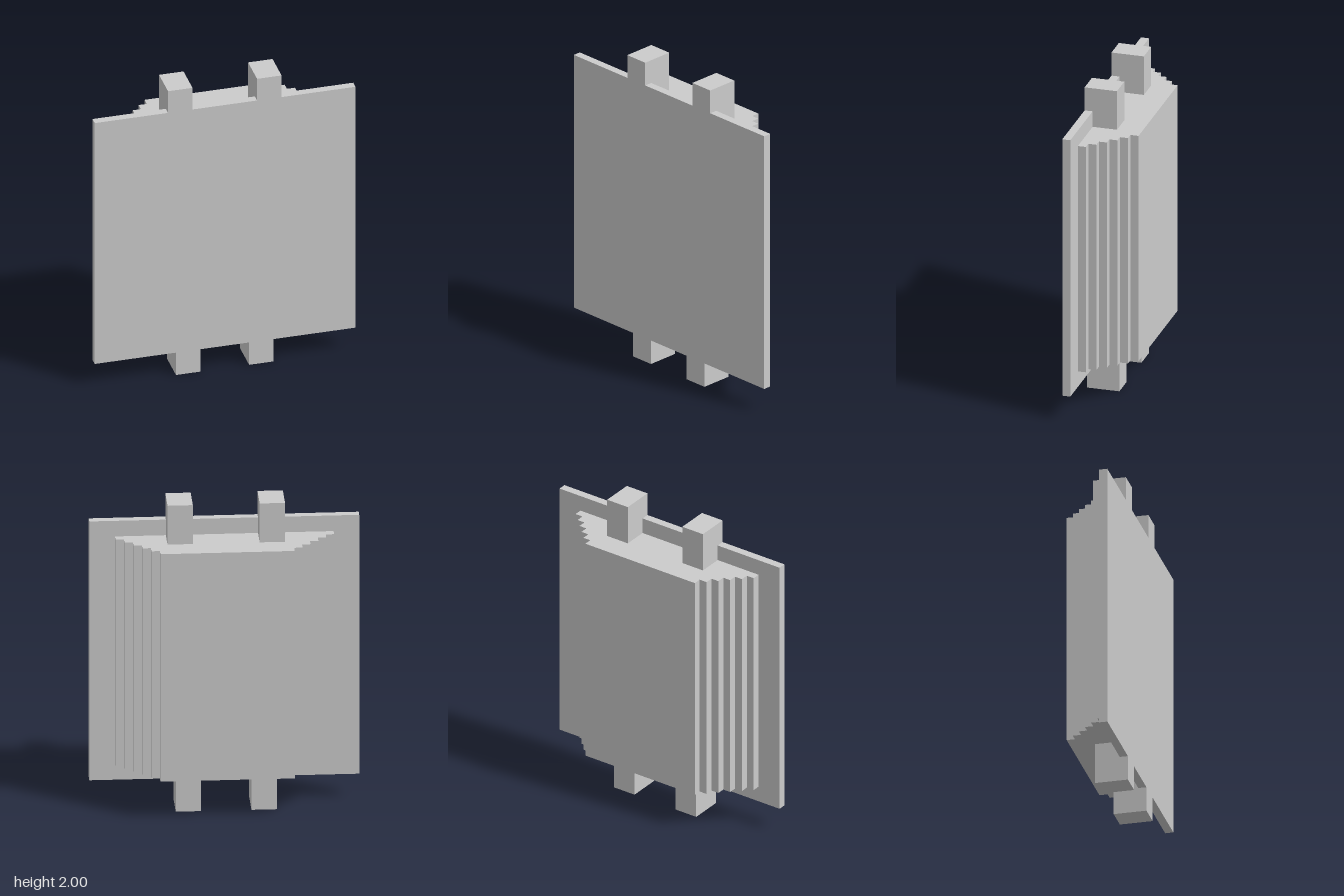
import * as THREE from 'three';

const material = new THREE.MeshStandardMaterial({ color: 0xcccccc, flatShading: true });

// Box given by its lower and upper limits on each axis
function box(name, [x0, x1], [y0, y1], [z0, z1]) {
  const mesh = new THREE.Mesh(new THREE.BoxGeometry(x1 - x0, y1 - y0, z1 - z0), material);
  mesh.position.set((x0 + x1) / 2, (y0 + y1) / 2, (z0 + z1) / 2);
  mesh.name = name;
  return mesh;
}

// Body whose sides step inwards towards the back
function steppedBody() {
  const steps = 6, zFront = 0.128, zBack = -0.179;
  const depth = (zFront - zBack) / steps;
  const right = [];
  for (let i = 0; i < steps; i++) {
    const halfWidth = 0.664 - i * 0.0512;
    right.push([halfWidth, -zFront + i * depth], [halfWidth, -zFront + (i + 1) * depth]);
  }
  const left = right.map(([x, y]) => [-x, y]).reverse();
  const shape = new THREE.Shape([...right, ...left].map(([x, y]) => new THREE.Vector2(x, y)));
  const geometry = new THREE.ExtrudeGeometry(shape, { depth: 1.486, bevelEnabled: false });
  geometry.rotateX(-Math.PI / 2);
  const mesh = new THREE.Mesh(geometry, material);
  mesh.position.y = 0.26;
  mesh.name = 'steppedBody';
  return mesh;
}

export function createModel() {
  const model = new THREE.Group();
  model.name = 'steppedPanel';

  // Thin front plate and the body behind it
  model.add(box('frontPlate', [-0.82, 0.82], [0.157, 1.848], [0.128, 0.179]));
  model.add(steppedBody());

  // Square pegs, flush with the plate front; the upper pair sits wider apart
  const half = 0.077;
  for (const side of [-1, 1]) {
    const label = side > 0 ? 'left' : 'right';
    const upper = side * 0.28 - 0.002, lower = side * 0.23 - 0.002;
    model.add(box(label + 'UpperPeg', [upper - half, upper + half], [1.7, 2], [-0.026, 0.179]));
    model.add(box(label + 'LowerPeg', [lower - half, lower + half], [0, 0.3], [-0.026, 0.179]));
  }
  return model;
}
